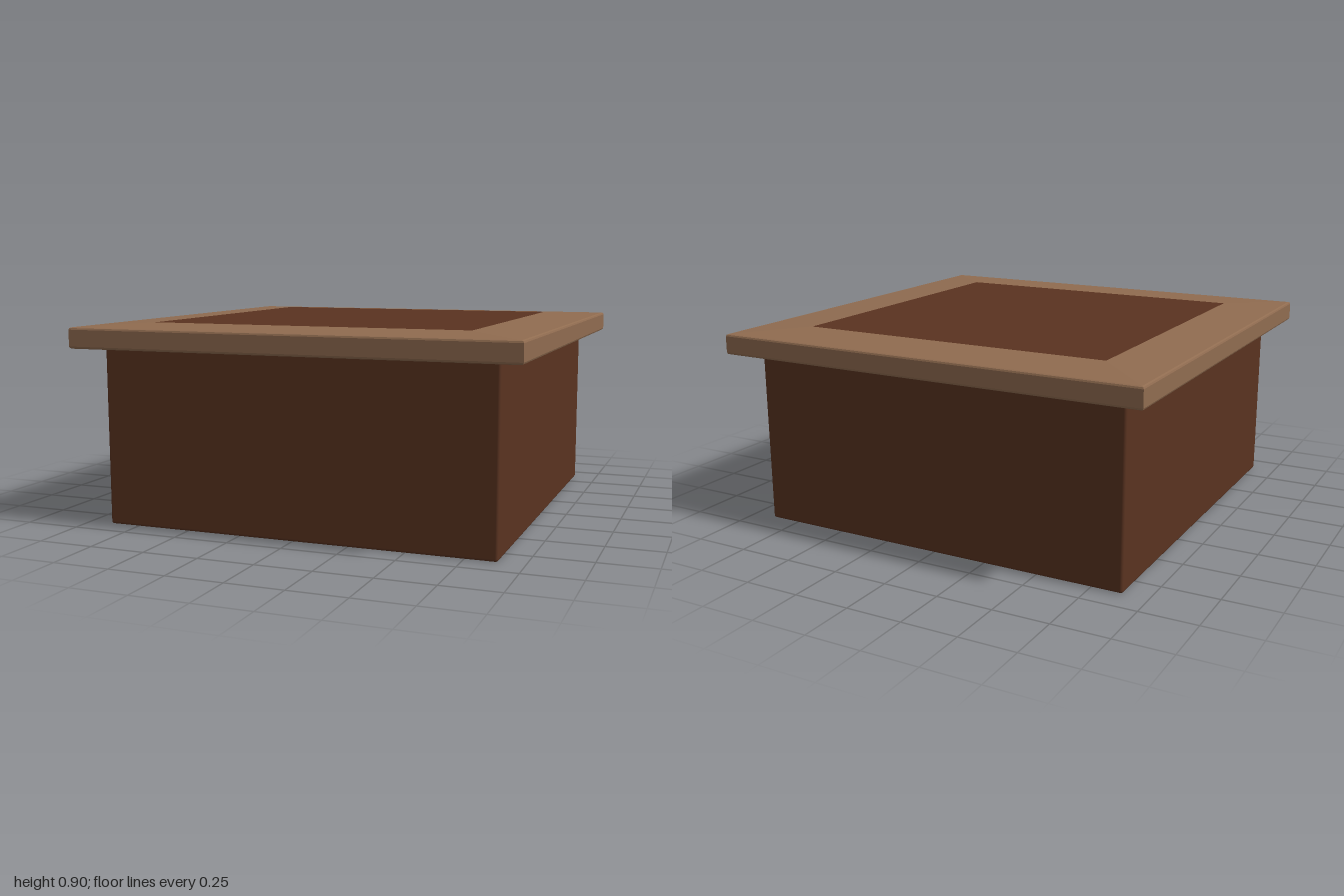
import * as THREE from 'three';
import { RoundedBoxGeometry } from 'three/addons/geometries/RoundedBoxGeometry.js';

// Square solid from a [halfWidth, y] profile, listed from the bottom up
function squareProfile(points) {
  const profile = points.map(([half, y]) => new THREE.Vector2(half * Math.SQRT2, y));
  const geometry = new THREE.LatheGeometry(profile, 4, Math.PI / 4).toNonIndexed();
  geometry.computeVertexNormals();
  return geometry;
}

export function createModel() {
  const darkBrown = new THREE.MeshStandardMaterial({ color: 0x5a3320 });
  darkBrown.name = 'darkBrown';
  const lightBrown = new THREE.MeshStandardMaterial({ color: 0x906c50 });
  lightBrown.name = 'lightBrown';

  const model = new THREE.Group();
  model.name = 'squareBox';
  const add = (name, geometry, material, y = 0) => {
    const mesh = new THREE.Mesh(geometry, material);
    mesh.name = name;
    mesh.position.y = y;
    model.add(mesh);
  };

  // Body with slightly softened edges
  add('body', new RoundedBoxGeometry(1.78, 0.82, 1.78, 2, 0.012), darkBrown, 0.41);

  // Overhanging rim, its top rising gently towards the centre
  add('rim', squareProfile([
    [0.73, 0.795], [0.99, 0.795], [0.997, 0.798], [1, 0.805],
    [1, 0.878], [0.997, 0.885], [0.99, 0.888], [0.73, 0.9],
  ]), lightBrown);

  // Flat inset panel, level with the inner edge of the rim
  const panel = new THREE.PlaneGeometry(1.46, 1.46).rotateX(-Math.PI / 2);
  add('topPanel', panel, darkBrown, 0.9);

  return model;
}
